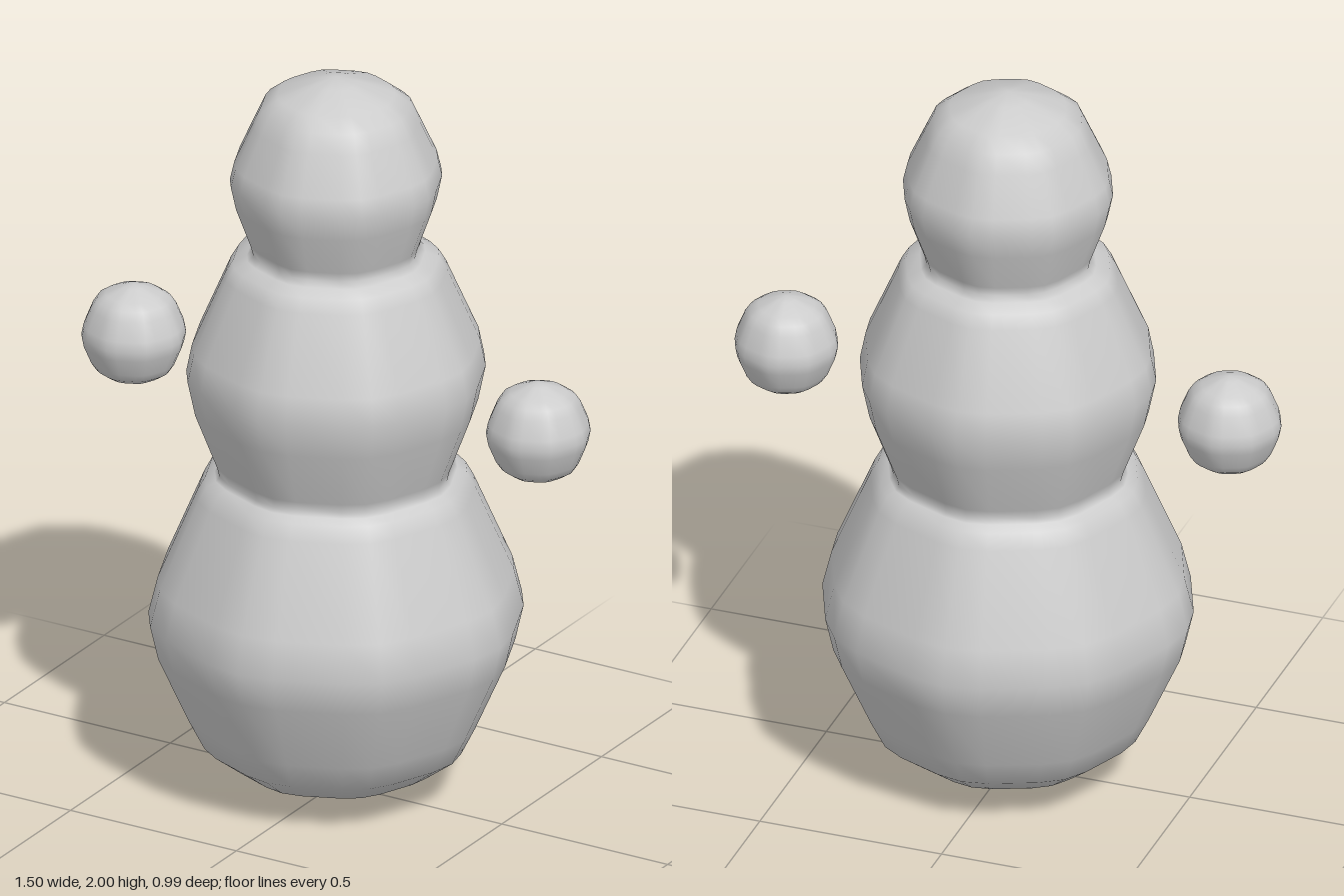
import * as THREE from 'three';
import { mergeVertices } from 'three/addons/utils/BufferGeometryUtils.js';

const material = new THREE.MeshStandardMaterial({ color: 0xcccccc });

// Softened octagon: three steps per side, the middle step wide and flat
function octagonStep(i) {
  const corner = Math.floor(i / 3) * Math.PI / 4;
  const offset = [0, 0.2, 0.585][i % 3];
  return { angle: corner + offset, scale: i % 3 ? 0.981 : 1 };
}

// Revolve a profile around y, then warp its 24 columns to the softened octagon
function octagonalLathe(profile) {
  const points = profile.map(([r, y]) => new THREE.Vector2(r, y));
  const lathe = new THREE.LatheGeometry(points, 24);
  const pos = lathe.attributes.position;
  for (let i = 0; i < pos.count; i++) {
    const { angle, scale } = octagonStep(Math.floor(i / points.length) % 24);
    const [r, y] = profile[i % points.length];
    pos.setXYZ(i, r * scale * Math.sin(angle), y, r * scale * Math.cos(angle));
  }
  lathe.deleteAttribute('uv');
  lathe.deleteAttribute('normal');
  const geometry = mergeVertices(lathe, 1e-5);
  geometry.computeVertexNormals();
  return geometry;
}

function addPart(group, name, geometry, x = 0, y = 0) {
  const mesh = new THREE.Mesh(geometry, material);
  mesh.name = name;
  mesh.position.set(x, y, 0);
  group.add(mesh);
}

export function createModel() {
  const group = new THREE.Group();
  group.name = 'stackedFigure';

  // Base, torso and head flow into each other at two soft necks
  addPart(group, 'body', octagonalLathe([
    [0, 0], [0.1, 0.02], [0.27, 0.075], [0.35, 0.135], [0.388, 0.21],
    [0.473, 0.4], [0.495, 0.495], [0.47, 0.595], [0.367, 0.835],
    [0.345, 0.875], [0.32, 0.888], [0.31, 0.9], [0.316, 0.925],
    [0.375, 1.08], [0.395, 1.175], [0.38, 1.25], [0.293, 1.45],
    [0.272, 1.485], [0.235, 1.5], [0.22, 1.515], [0.226, 1.54],
    [0.266, 1.65], [0.28, 1.715], [0.268, 1.765], [0.22, 1.87],
    [0.197, 1.92], [0.155, 1.952], [0.06, 1.985], [0, 2],
  ]));

  // Floating hands, octagonal in both directions
  const radius = 0.138;
  const handProfile = [];
  for (let i = 0; i <= 12; i++) {
    const { angle, scale } = octagonStep(i);
    const r = i % 12 ? radius * scale * Math.sin(angle) : 0;
    handProfile.push([r, -radius * scale * Math.cos(angle)]);
  }
  const hand = octagonalLathe(handProfile);
  addPart(group, 'leftHand', hand, 0.61, 1.136);
  addPart(group, 'rightHand', hand, -0.61, 1.136);

  return group;
}
